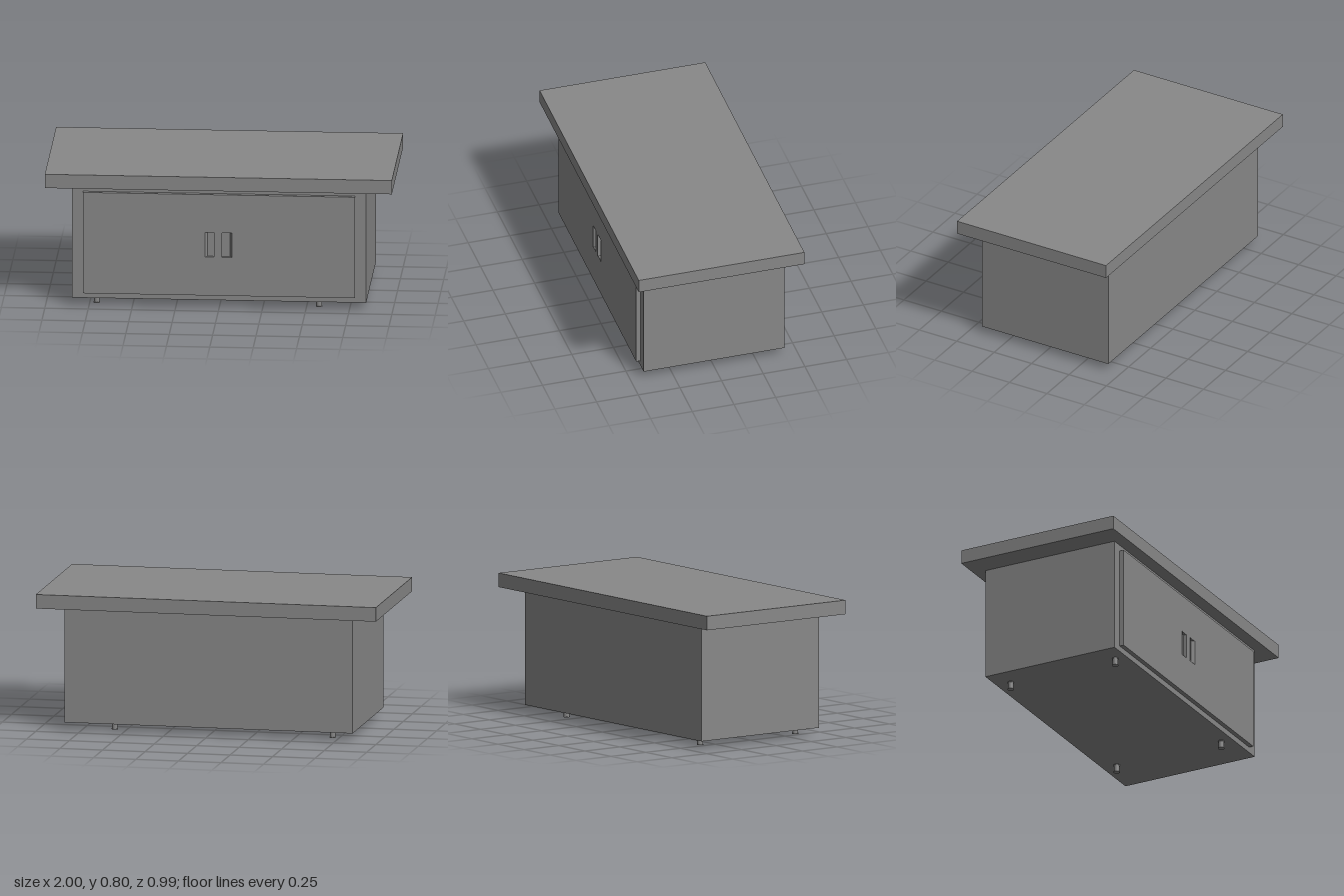
import * as THREE from 'three';

const material = new THREE.MeshStandardMaterial({ color: 0x888888 });

export function createModel() {
  const group = new THREE.Group();

  const add = (name, geometry, x, y, z) => {
    const mesh = new THREE.Mesh(geometry, material);
    mesh.name = name;
    mesh.position.set(x, y, z);
    group.add(mesh);
  };
  // Box given by its extents on each axis
  const box = (name, [x0, x1], [y0, y1], [z0, z1]) =>
    add(name, new THREE.BoxGeometry(x1 - x0, y1 - y0, z1 - z0),
      (x0 + x1) / 2, (y0 + y1) / 2, (z0 + z1) / 2);
  const rectangle = (path, x0, x1, y0, y1) =>
    path.moveTo(x0, y0).lineTo(x1, y0).lineTo(x1, y1).lineTo(x0, y1).closePath();

  box('tableTop', [-1, 1], [0.718, 0.8], [-0.497, 0.497]);
  box('cabinetBody', [-0.847, 0.847], [0.045, 0.718], [-0.422, 0.422]);

  // Front panel with two openings for the recessed handles
  const handleBottom = 0.309, handleHeight = 0.146;
  const handles = [
    { name: 'rightHandle', inner: -0.027, ridge: -0.067, outer: -0.08 },
    { name: 'leftHandle', inner: 0.016, ridge: 0.064, outer: 0.075 },
  ];
  const panel = rectangle(new THREE.Shape(), -0.784, 0.784, 0.079, 0.682);
  for (const { inner, outer } of handles) {
    panel.holes.push(rectangle(new THREE.Path(), inner, outer, handleBottom, handleBottom + handleHeight));
  }
  add('frontPanel', new THREE.ExtrudeGeometry(panel, { depth: 0.028, bevelEnabled: false }), 0, 0, 0.42);

  // Finger pulls: a shallow cup with a thin inner rim and a sloping outer side
  for (const { name, inner, ridge, outer } of handles) {
    const rim = inner + 0.002 * Math.sign(outer);
    const profile = new THREE.Shape([
      [inner, 0.42], [inner, 0.451], [rim, 0.451], [rim, 0.43], [ridge, 0.43], [outer, 0.451], [outer, 0.42],
    ].map(([x, z]) => new THREE.Vector2(x, -z)));
    const geometry = new THREE.ExtrudeGeometry(profile, { depth: handleHeight, bevelEnabled: false });
    geometry.rotateX(-Math.PI / 2);
    add(name, geometry, 0, handleBottom, 0);
  }

  // Short round feet with a thin flange at each end
  for (const x of [-0.71, 0.571]) {
    for (const z of [0.353, -0.33]) {
      add('foot', new THREE.CylinderGeometry(0.0165, 0.0165, 0.046, 24), x, 0.023, z);
      for (const y of [0.002, 0.043]) {
        add('footFlange', new THREE.CylinderGeometry(0.019, 0.019, 0.004, 24), x, y, z);
      }
    }
  }
  return group;
}
